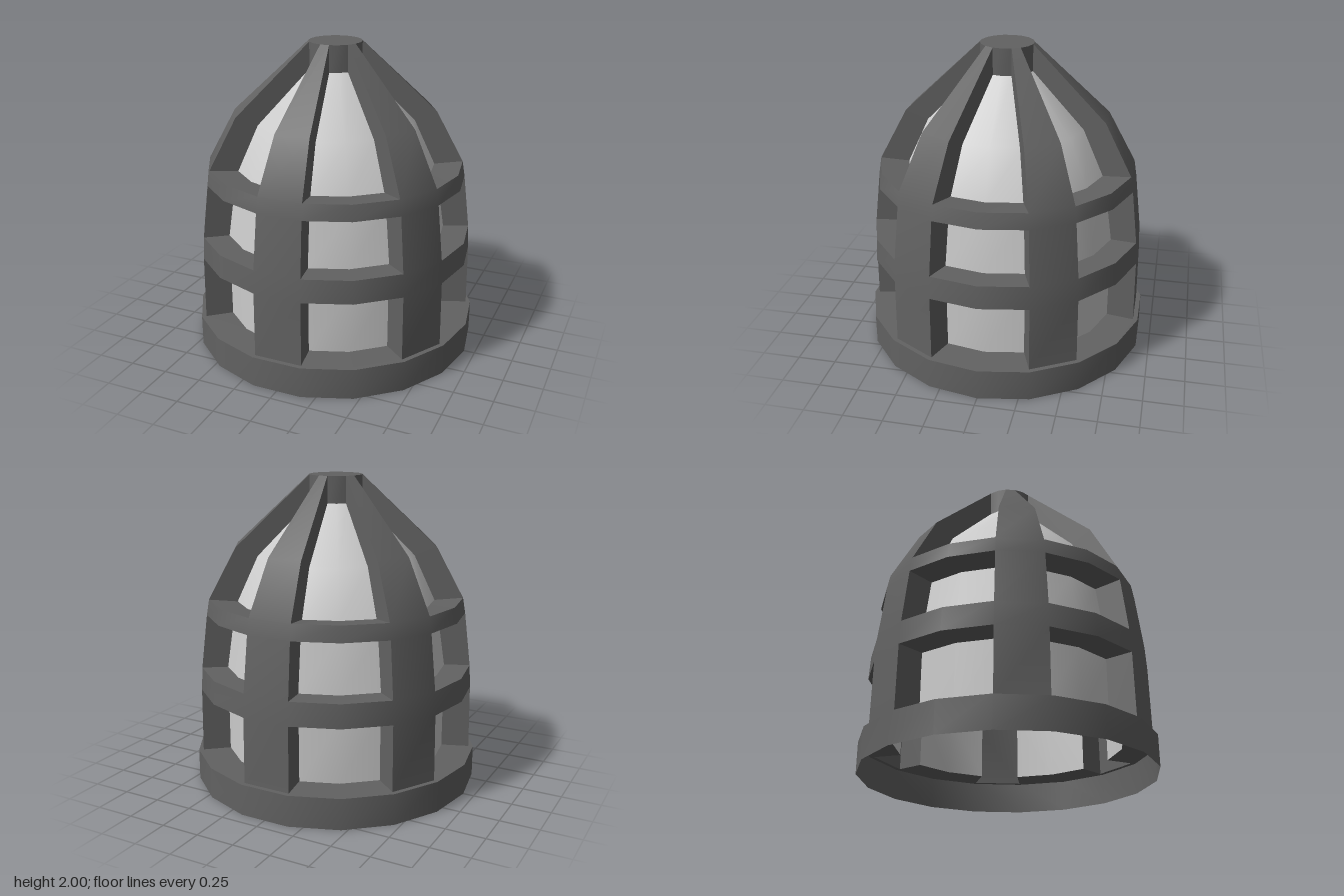
import * as THREE from 'three';
import { toCreasedNormals } from 'three/addons/utils/BufferGeometryUtils.js';

const SIDES = 18; // one side per rib, two per window, six times round
const CAP_R = 0.17, CAP_Y = 2;

// Outer profile [radius, height], bottom to top
const shell = [
  [0.9, 0.2], [0.895, 0.62], [0.887, 0.77], [0.845, 1.12],
  [0.828, 1.22], [0.65, 1.55], [CAP_R, CAP_Y],
];

// Window rows: outer edge profile and the recessed pane profile
const windows = [
  { outer: [shell[0], shell[1]], pane: [[0.72, 0.2], [0.72, 0.615]] },
  { outer: [shell[2], shell[3]], pane: [[0.72, 0.765], [0.67, 1.105]] },
  { outer: [shell[4], shell[5], shell[6]], pane: [[0.645, 1.2], [0.51, 1.49], [CAP_R, 1.83]] },
];

// Corner k of the 18-sided ring at a profile point
function corner(k, [r, y]) {
  const a = (k * Math.PI * 2) / SIDES;
  return [r * Math.cos(a), y, r * Math.sin(a)];
}

// Collects four-cornered faces
class Faces {
  constructor() { this.positions = []; }
  quad(a, b, c, d) { this.positions.push(...a, ...b, ...c, ...a, ...c, ...d); }
  // One side of the ring, between two profile points
  side(k, lo, hi) {
    this.quad(corner(k + 1, lo), corner(k, lo), corner(k, hi), corner(k + 1, hi));
  }
  mesh(name, material) {
    const g = new THREE.BufferGeometry();
    g.setAttribute('position', new THREE.Float32BufferAttribute(this.positions, 3));
    const mesh = new THREE.Mesh(toCreasedNormals(g, THREE.MathUtils.degToRad(32)), material);
    mesh.name = name;
    return mesh;
  }
}

export function createModel() {
  const group = new THREE.Group();
  group.name = 'cagedDome';
  const dark = new THREE.MeshStandardMaterial({ color: 0x626262, side: THREE.DoubleSide });
  const light = new THREE.MeshStandardMaterial({ color: 0xcccccc, side: THREE.DoubleSide });

  // Base band, open underneath, with a narrow ledge on top
  const base = new Faces();
  for (let k = 0; k < SIDES; k++) {
    base.side(k, [0.93, 0], [0.93, 0.2]);
    base.side(k, [0.93, 0.2], shell[0]);
  }
  group.add(base.mesh('baseBand', dark));

  // Ribs run the full height; the two hoops go all the way round
  const cage = new Faces();
  for (let k = 0; k < SIDES; k++) {
    for (let i = 0; i < shell.length - 1; i++) {
      const isRib = k % 3 === 1, isHoop = i === 1 || i === 3;
      if (isRib || isHoop) cage.side(k, shell[i], shell[i + 1]);
    }
  }
  group.add(cage.mesh('ribsAndHoops', dark));

  // Recessed windows: walls around each opening and the pane at the back
  const walls = new Faces(), panes = new Faces();
  for (let n = 0; n < 6; n++) {
    const first = 2 + n * 3, last = first + 2;
    for (const { outer, pane } of windows) {
      const top = outer.length - 1;
      for (let k = first; k < last; k++) {
        walls.side(k, outer[0], pane[0]);
        walls.side(k, pane[top], outer[top]);
        for (let i = 0; i < top; i++) panes.side(k, pane[i], pane[i + 1]);
      }
      for (let i = 0; i < top; i++) {
        const loop = (k) => [pane[i], outer[i], outer[i + 1], pane[i + 1]].map((p) => corner(k, p));
        walls.quad(...loop(first));
        walls.quad(...loop(last).reverse());
      }
    }
  }
  group.add(walls.mesh('windowWalls', dark), panes.mesh('panes', light));

  // Flat cap
  const cap = new THREE.Mesh(new THREE.CircleGeometry(CAP_R, SIDES).rotateX(-Math.PI / 2), dark);
  cap.position.y = CAP_Y;
  cap.name = 'cap';
  group.add(cap);

  return group;
}
